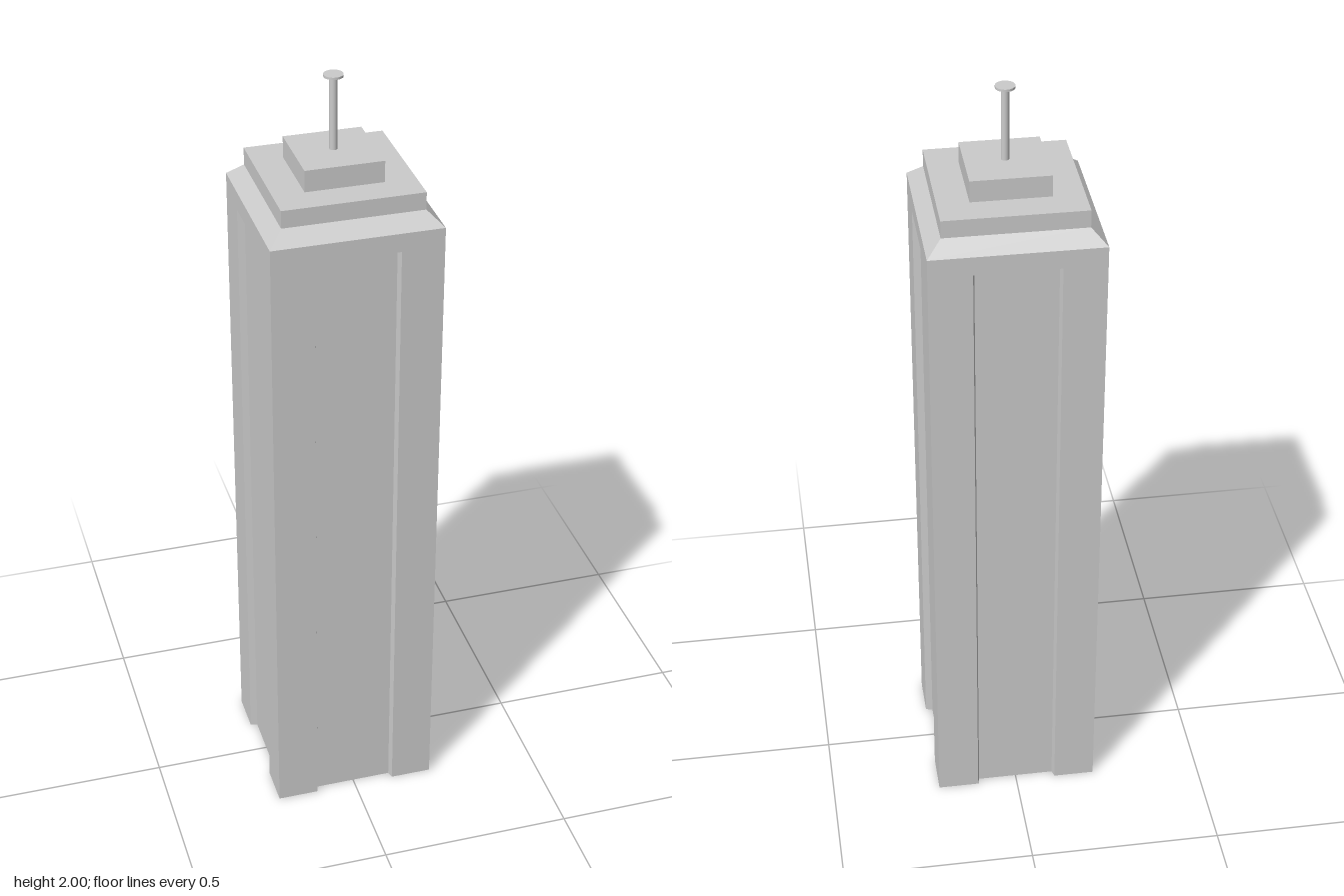
import * as THREE from 'three';
import { mergeGeometries } from 'three/addons/utils/BufferGeometryUtils.js';

const H = 0.213;            // half width of the shaft
const TOP = 1.675;          // top of the vertical walls
const HEAD = 1.627;         // head of the recessed bays
const OUT = 0.106, INN = 0.101; // half width of a bay at its mouth and at its back
const DEEP = 0.195;         // distance of the bay back from the axis
const CROWN = 0.176, CROWN_Y = 1.71; // top edge of the sloped shoulder

const material = new THREE.MeshStandardMaterial({ color: 0xcccccc });

// Flat four-sided face, corners anticlockwise from outside
function quad(a, b, c, d) {
  const g = new THREE.BufferGeometry();
  g.setAttribute('position', new THREE.Float32BufferAttribute([...a, ...b, ...c, ...d], 3));
  g.setAttribute('uv', new THREE.Float32BufferAttribute([0, 0, 1, 0, 1, 1, 0, 1], 2));
  g.setIndex([0, 1, 2, 0, 2, 3]);
  g.computeVertexNormals();
  return g;
}

const outline = (pts) => new THREE.ShapeGeometry(
  new THREE.Shape(pts.map(([x, y]) => new THREE.Vector2(x, y))));

// One side of the tower: wall around the bay, bay lining, sloped shoulder
function facade() {
  const wall = outline([[-H, 0], [-OUT, 0], [-OUT, HEAD], [OUT, HEAD],
    [OUT, 0], [H, 0], [H, TOP], [-H, TOP]]).translate(0, 0, H);
  return mergeGeometries([
    wall,
    quad([-INN, 0, DEEP], [INN, 0, DEEP], [INN, HEAD, DEEP], [-INN, HEAD, DEEP]),
    quad([-OUT, 0, H], [-INN, 0, DEEP], [-INN, HEAD, DEEP], [-OUT, HEAD, H]),
    quad([INN, 0, DEEP], [OUT, 0, H], [OUT, HEAD, H], [INN, HEAD, DEEP]),
    quad([-OUT, HEAD, H], [-INN, HEAD, DEEP], [INN, HEAD, DEEP], [OUT, HEAD, H]),
    quad([-H, TOP, H], [H, TOP, H], [CROWN, CROWN_Y, CROWN], [-CROWN, CROWN_Y, CROWN]),
  ]);
}

export function createModel() {
  const group = new THREE.Group();
  const add = (name, geometry, y = 0) => {
    const mesh = new THREE.Mesh(geometry, material);
    mesh.name = name;
    mesh.position.y = y;
    group.add(mesh);
  };
  const block = (name, half, y0, y1) =>
    add(name, new THREE.BoxGeometry(2 * half, y1 - y0, 2 * half), (y0 + y1) / 2);
  const rod = (name, r, y0, y1) =>
    add(name, new THREE.CylinderGeometry(r, r, y1 - y0, 32), (y0 + y1) / 2);

  // Shaft: four equal facades closed by a notched floor
  const plan = [];
  const sides = [];
  for (let i = 0; i < 4; i++) {
    const a = i * Math.PI / 2;
    sides.push(facade().rotateY(a));
    for (const [x, z] of [[-H, H], [-OUT, H], [-INN, DEEP], [INN, DEEP], [OUT, H]]) {
      plan.push([x * Math.cos(a) + z * Math.sin(a), z * Math.cos(a) - x * Math.sin(a)]);
    }
  }
  sides.push(outline(plan).rotateX(Math.PI / 2));
  add('towerShaft', mergeGeometries(sides));

  // Stepped roof
  block('lowerRoofStep', CROWN, CROWN_Y, 1.755);
  block('upperRoofStep', 0.098, 1.755, 1.81);

  // Mast with a thin disc on top
  rod('mast', 0.01, 1.81, 1.994);
  rod('mastCap', 0.024, 1.994, 2);

  return group;
}
